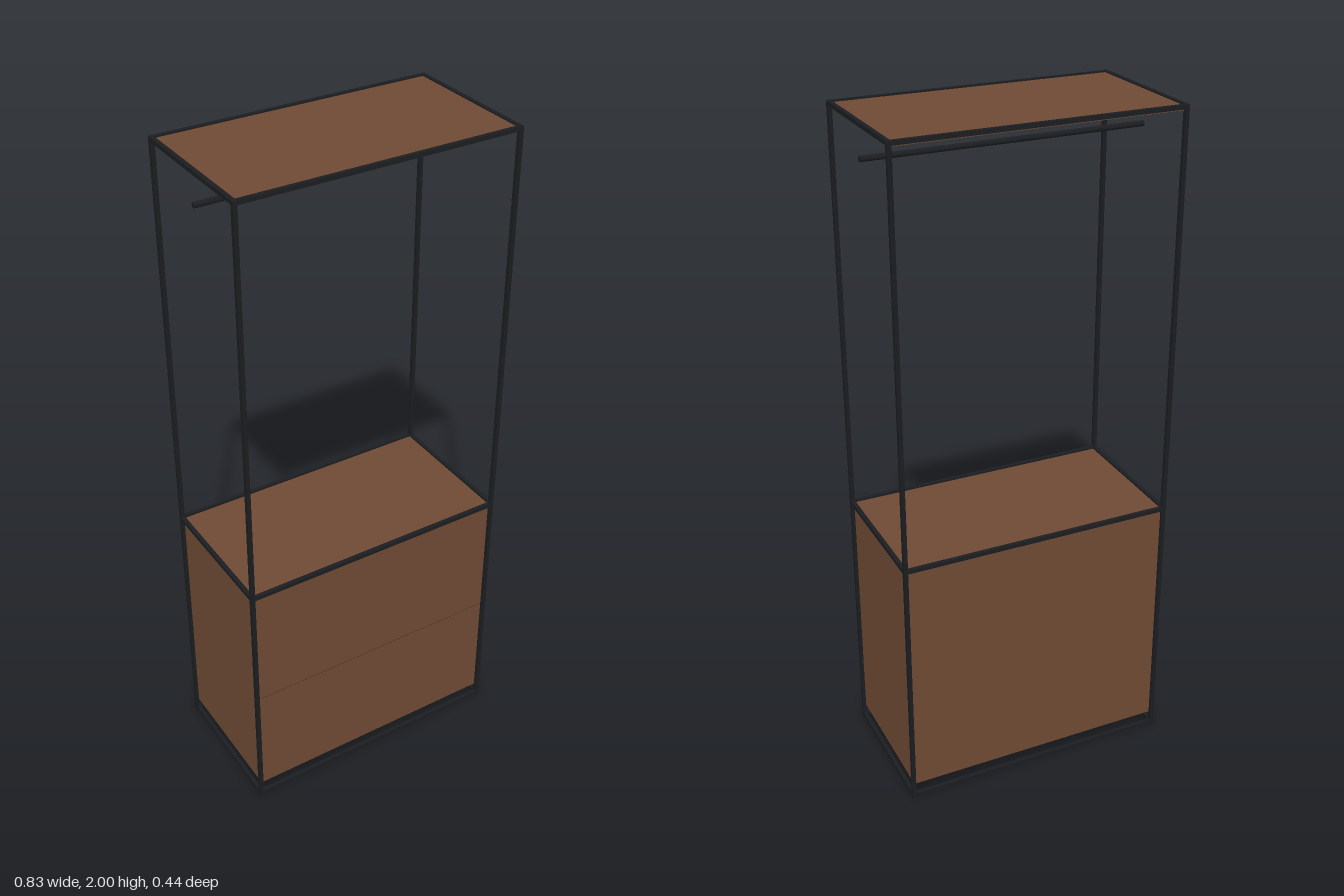
import * as THREE from 'three';

export function createModel() {
  const model = new THREE.Group();
  const wood = new THREE.MeshStandardMaterial({ color: 0x6f4a34 });
  wood.name = 'brown wood';
  const seamWood = new THREE.MeshStandardMaterial({ color: 0x432b1f });
  seamWood.name = 'dark seam';
  const metal = new THREE.MeshStandardMaterial({ color: 0x1b1d20 });
  metal.name = 'black metal';

  const X = 0.416, Z = 0.221, T = 0.012; // outer half sizes and bar thickness
  const bx = X - T / 2, bz = Z - T / 2;

  const box = (name, material, size, position, parent = model) => {
    const mesh = new THREE.Mesh(new THREE.BoxGeometry(...size), material);
    mesh.name = name;
    mesh.position.set(...position);
    parent.add(mesh);
    return mesh;
  };

  // Metal frame: four posts and three rings of rails
  const frame = new THREE.Group();
  frame.name = 'frame';
  model.add(frame);
  for (const sx of [-1, 1])
    for (const sz of [-1, 1])
      box('post', metal, [T, 2, T], [sx * bx, 1, sz * bz], frame);
  for (const y of [0.01, 0.8, 2 - T / 2])
    for (const s of [-1, 1]) {
      box('longRail', metal, [2 * X - 2 * T, T, T], [0, y, s * bz], frame);
      box('sideRail', metal, [T, T, 2 * Z - 2 * T], [s * bx, y, 0], frame);
    }

  // Hanging rod
  const rod = new THREE.Mesh(new THREE.CylinderGeometry(0.008, 0.008, 2 * X - T, 16), metal);
  rod.name = 'hangingRod';
  rod.rotation.z = Math.PI / 2;
  rod.position.y = 1.9;
  model.add(rod);

  // Top panel
  box('topPanel', wood, [0.816, 0.012, 0.426], [0, 1.99, 0]);

  // Cabinet with two drawer fronts and the seam between them
  const cabinet = new THREE.Group();
  cabinet.name = 'cabinet';
  model.add(cabinet);
  box('cabinetBody', wood, [0.812, 0.755, 0.405], [0, 0.4225, -0.0085], cabinet);
  box('lowerDrawerFront', wood, [0.812, 0.353, 0.017], [0, 0.2215, 0.2025], cabinet);
  box('upperDrawerFront', wood, [0.812, 0.398, 0.017], [0, 0.601, 0.2025], cabinet);
  box('drawerSeam', seamWood, [0.81, 0.008, 0.008], [0, 0.4, 0.2055], cabinet);

  return model;
}
